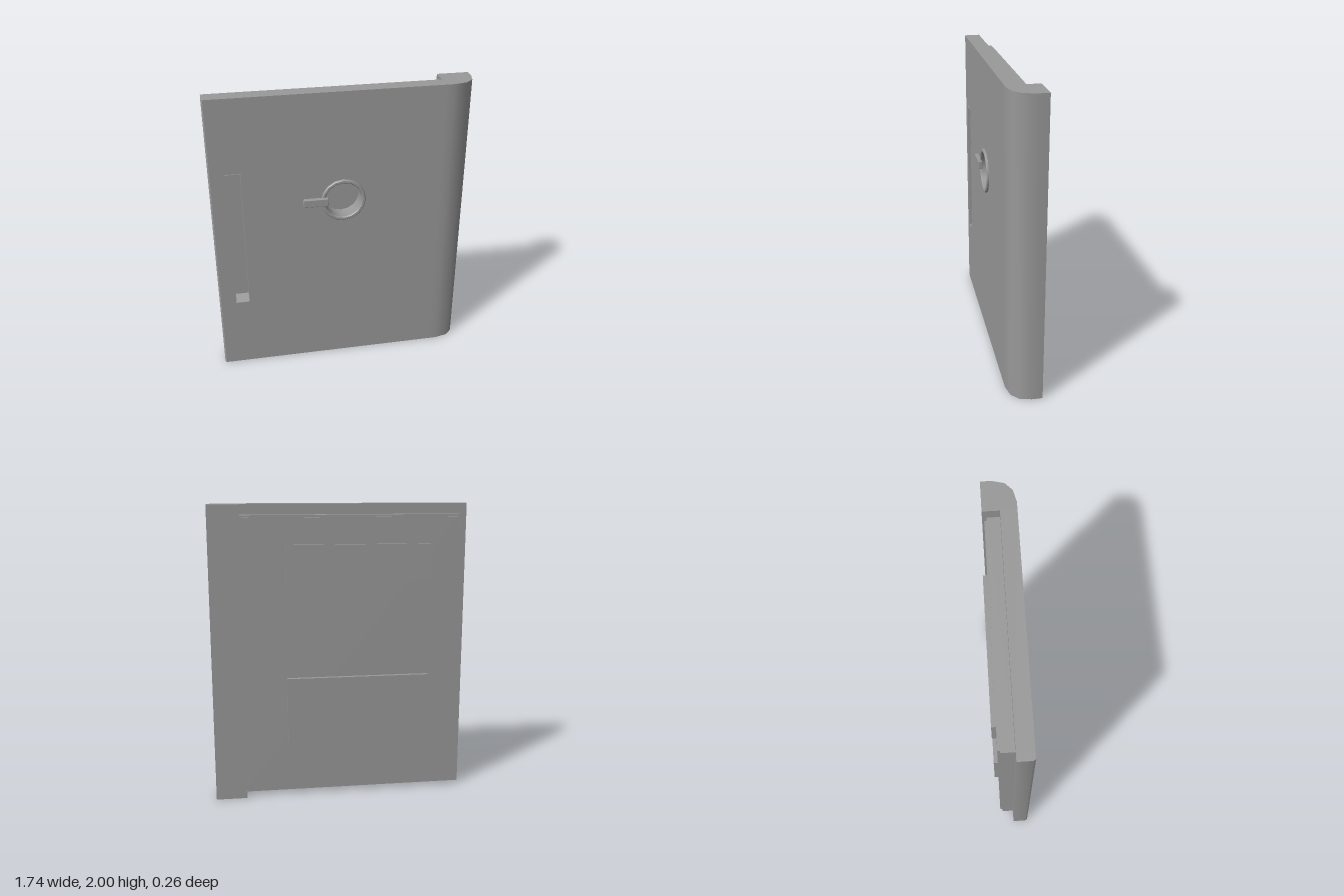
import * as THREE from 'three';
import { toCreasedNormals } from 'three/addons/utils/BufferGeometryUtils.js';
import { RoundedBoxGeometry } from 'three/addons/geometries/RoundedBoxGeometry.js';

const H = 2;
const material = new THREE.MeshStandardMaterial({ color: 0x999999 });

export function createModel() {
  const group = new THREE.Group();

  const add = (name, geometry, x = 0, y = 0, z = 0) => {
    const mesh = new THREE.Mesh(geometry, material);
    mesh.name = name;
    mesh.position.set(x, y, z);
    group.add(mesh);
    return mesh;
  };
  // Box given by its limits on each axis
  const box = (name, x0, x1, y0, y1, z0, z1) =>
    add(name, new THREE.BoxGeometry(x1 - x0, y1 - y0, z1 - z0),
      (x0 + x1) / 2, (y0 + y1) / 2, (z0 + z1) / 2);
  // Floor plan of [x, z] points raised to the full door height
  const upright = (name, points) => {
    const shape = new THREE.Shape(points.map(([x, z]) => new THREE.Vector2(x, -z)));
    const geometry = new THREE.ExtrudeGeometry(shape, { depth: H, bevelEnabled: false });
    geometry.rotateX(-Math.PI / 2);
    add(name, toCreasedNormals(geometry, 0.7));
  };
  const rect = (Type, x0, x1, y0, y1) => new Type([
    [x0, y0], [x1, y0], [x1, y1], [x0, y1],
  ].map(([x, y]) => new THREE.Vector2(x, y)));

  const back = -0.005, front = 0.1, slotBase = 0.03, seam = 0.66;
  const slot = [-0.755, -0.665, 0.515, 1.485];
  const holeY = 1.25, holeR = 0.125;

  // Door slab with the handle slot and the round recess cut through it
  const slab = rect(THREE.Shape, -0.86, seam, 0, H);
  const round = new THREE.Path();
  round.absarc(0, holeY, holeR, 0, Math.PI * 2, true);
  slab.holes.push(rect(THREE.Path, ...slot), round);
  const slabGeometry = new THREE.ExtrudeGeometry(slab, {
    depth: front - back, bevelEnabled: false, curveSegments: 8,
  });
  add('doorSlab', toCreasedNormals(slabGeometry, 0.6), 0, 0, back);

  // Bevelled free edge
  upright('freeEdge', [
    [-0.86, back], [-0.87, back], [-0.87, front - 0.015], [-0.86, front],
  ]);

  // Hinge column with a rounded front corner
  upright('hingeColumn', [
    [seam, -0.115], [0.87, -0.115], [0.87, -0.045],
    [0.85, 0.033], [0.8, 0.08], [0.715, front], [seam, front],
  ]);

  // Floors of the slot and the recess
  box('slotFloor', slot[0], slot[1], slot[2], slot[3], back, slotBase);
  const floorDepth = 0.01;
  const floor = add('recessFloor',
    new THREE.CylinderGeometry(holeR, holeR, floorDepth, 16), 0, holeY, back + floorDepth / 2);
  floor.rotation.x = Math.PI / 2;

  // Sloping sills at both ends of the slot
  for (const [name, end, dir] of [['lowerSlotSill', slot[2], 1], ['upperSlotSill', slot[3], -1]]) {
    const wedge = new THREE.Shape([
      new THREE.Vector2(-front, end),
      new THREE.Vector2(-slotBase, end),
      new THREE.Vector2(-slotBase, end + dir * 0.025),
    ]);
    const geometry = new THREE.ExtrudeGeometry(wedge, { depth: slot[1] - slot[0], bevelEnabled: false });
    geometry.rotateY(Math.PI / 2);
    add(name, geometry, slot[0]);
  }

  // Thin frame around the slot
  const frame = rect(THREE.Shape, -0.766, -0.656, 0.503, 1.497);
  frame.holes.push(rect(THREE.Path, ...slot));
  add('slotFrame', new THREE.ExtrudeGeometry(frame, { depth: 0.005, bevelEnabled: false }), 0, 0, front);

  // Raised ring around the recess
  const ringProfile = [
    [0.15, 0], [0.15, 0.009], [0.144, 0.015], [0.131, 0.015], [holeR, 0.009], [holeR, 0],
  ].map(([r, h]) => new THREE.Vector2(r, h));
  const ring = add('recessRing',
    toCreasedNormals(new THREE.LatheGeometry(ringProfile, 16), 0.6), 0, holeY, front);
  ring.rotation.x = Math.PI / 2;

  // Lever handle
  add('lever', new RoundedBoxGeometry(0.167, 0.055, 0.03, 1, 0.006), -0.187, 1.253, 0.115);

  // Stepped inner panel
  box('innerPanel', -0.8, seam, 0.07, 1.93, -0.087, back);
  box('innerPanelStep', -0.785, 0.645, 0.085, 1.915, -0.102, -0.087);

  // Raised plates on the back
  for (const [name, y0, y1] of [['upperBackPlate', 1.49, 1.74], ['lowerBackPlate', 0.395, 0.845]]) {
    box(name, -0.6, 0.37, y0, y1, -0.13, -0.102);
  }

  return group;
}
